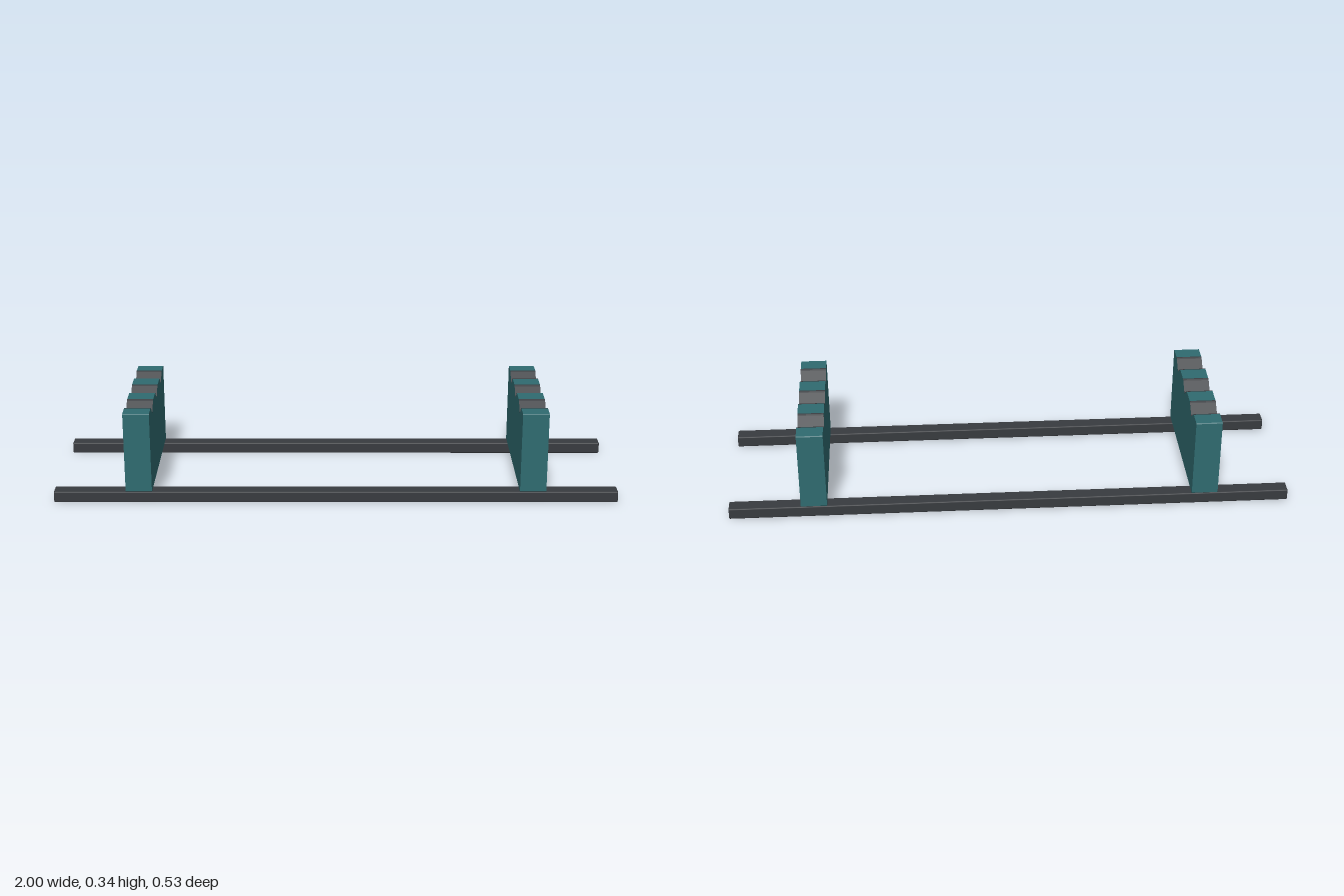
import * as THREE from 'three';
import { RoundedBoxGeometry } from 'three/addons/geometries/RoundedBoxGeometry.js';

const teal = new THREE.MeshStandardMaterial({ color: 0x2f6b70 });
const dark = new THREE.MeshStandardMaterial({ color: 0x383b3f });

const HALF_DEPTH = 0.267, RAIL_TOP = 0.041, TOP = 0.334, THICK = 0.093;
const NOTCHES = [-0.16, 0, 0.16];
// Half of one notch, from the crest down to the valley: [offset, height]
const HALF_NOTCH = [[0.047, TOP], [0.043, 0.333], [0.038, 0.3298], [0.005, 0.3025], [0.002, 0.301]];
const NOTCH = [
  ...HALF_NOTCH.map(([z, y]) => [-z, y]),
  ...[...HALF_NOTCH].reverse(),
];

// Extrudes a (z, y) outline across x, centred on x = 0
function extrudeAcross(points, depth) {
  const shape = new THREE.Shape(points.map(([z, y]) => new THREE.Vector2(z, y)));
  const geo = new THREE.ExtrudeGeometry(shape, { depth, bevelEnabled: false });
  geo.translate(0, 0, -depth / 2);
  geo.rotateY(-Math.PI / 2);
  return geo;
}

function createCradle() {
  const cradle = new THREE.Group();

  // Upright block with softened corners and three valleys in its top edge
  const d = HALF_DEPTH, r = 0.003;
  const outline = [[-d, TOP - r], [-d + r, TOP]];
  for (const c of NOTCHES) outline.push(...NOTCH.map(([z, y]) => [c + z, y]));
  outline.push([d - r, TOP], [d, TOP - r], [d, RAIL_TOP + r], [d - r, RAIL_TOP],
    [-d + r, RAIL_TOP], [-d, RAIL_TOP + r]);
  const block = new THREE.Mesh(extrudeAcross(outline, THICK), teal);
  block.name = 'cradleBlock';
  cradle.add(block);

  // Thin dark lining in each valley
  const lining = [
    ...NOTCH,
    ...[...NOTCH].reverse().map(([z, y]) => [z, y + 0.001]),
  ];
  const liningGeo = extrudeAcross(lining, THICK);
  for (const c of NOTCHES) {
    const pad = new THREE.Mesh(liningGeo, dark);
    pad.name = 'notchLining';
    pad.position.z = c;
    cradle.add(pad);
  }
  return cradle;
}

export function createModel() {
  const model = new THREE.Group();
  model.name = 'notchedRack';

  // Two long floor rails
  const railWidth = 0.052;
  const railGeo = new RoundedBoxGeometry(2, RAIL_TOP, railWidth, 2, 0.004);
  for (const side of [1, -1]) {
    const rail = new THREE.Mesh(railGeo, dark);
    rail.name = side > 0 ? 'frontRail' : 'backRail';
    rail.position.set(0, RAIL_TOP / 2, side * (HALF_DEPTH - railWidth / 2));
    model.add(rail);
  }

  // Notched cradles near each end
  for (const side of [1, -1]) {
    const cradle = createCradle();
    cradle.name = side > 0 ? 'leftCradle' : 'rightCradle';
    cradle.position.x = side * 0.698;
    model.add(cradle);
  }
  return model;
}
